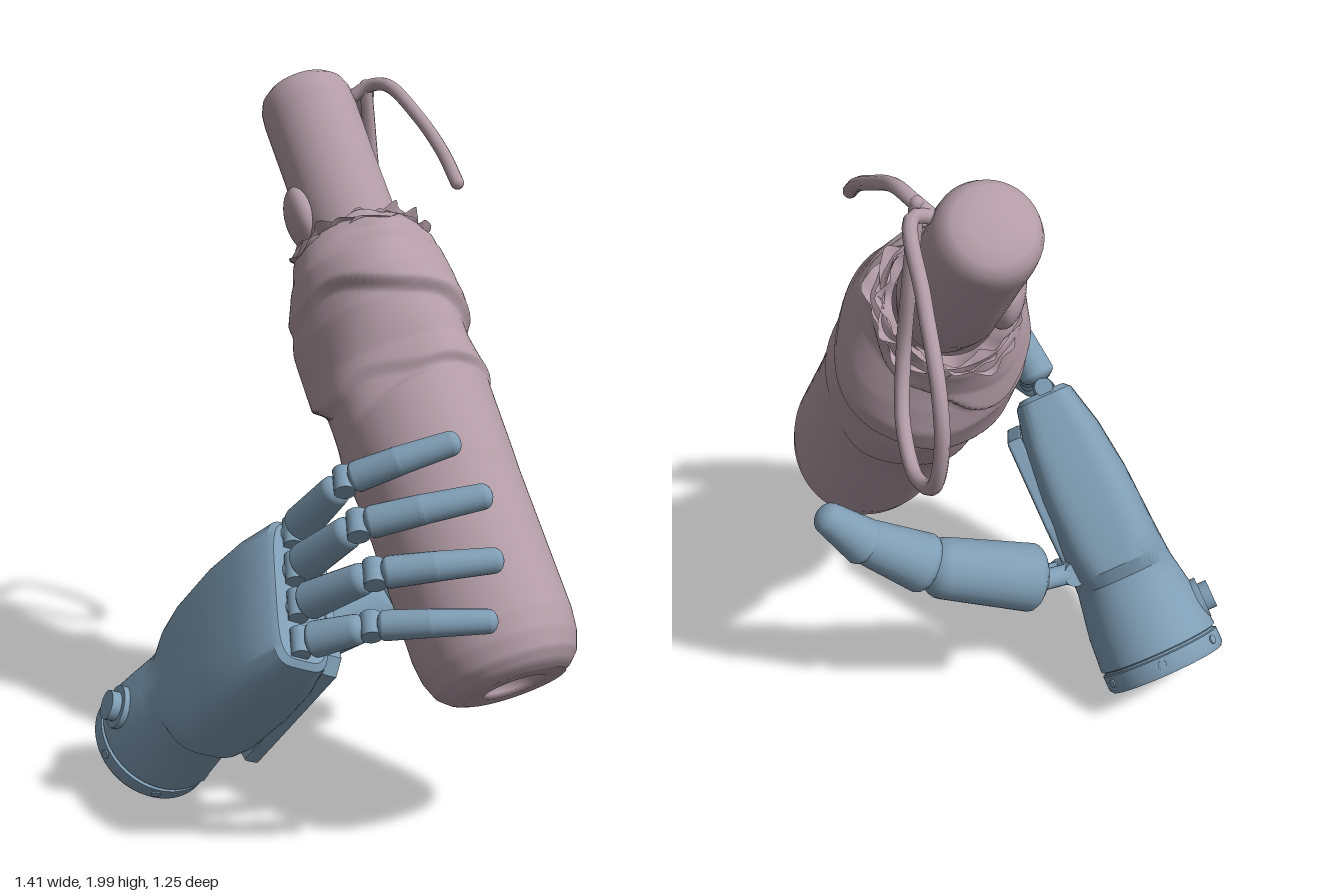
import * as THREE from 'three';
import { toCreasedNormals } from 'three/addons/utils/BufferGeometryUtils.js';

const V = (x, y, z) => new THREE.Vector3(x, y, z);
const UP = V(0, 1, 0);
const pink = new THREE.MeshStandardMaterial({ color: 0xb39ca5, side: THREE.DoubleSide });
const blue = new THREE.MeshStandardMaterial({ color: 0x7f9db4, side: THREE.DoubleSide });

function add(parent, name, geometry, material) {
  const mesh = new THREE.Mesh(geometry, material);
  mesh.name = name;
  parent.add(mesh);
  return mesh;
}

// Stretch of closed rings; point(i, a) gives the vertex of ring i at angle a
function loft(rings, sides, point) {
  const pos = [], index = [];
  for (let i = 0; i < rings; i++) {
    for (let j = 0; j < sides; j++) {
      pos.push(...point(i, (j / sides) * Math.PI * 2));
      if (i === rings - 1) continue;
      const a = i * sides + j, b = i * sides + ((j + 1) % sides);
      index.push(a, b, b + sides, a, b + sides, a + sides);
    }
  }
  const g = new THREE.BufferGeometry();
  g.setAttribute('position', new THREE.Float32BufferAttribute(pos, 3));
  g.setIndex(index);
  g.computeVertexNormals();
  return g;
}

// Linear lookup in a table of [position, value] rows
function sample(table, t) {
  let i = 0;
  while (i < table.length - 2 && t > table[i + 1][0]) i++;
  const [a, b] = [table[i], table[i + 1]];
  return THREE.MathUtils.lerp(a[1], b[1], THREE.MathUtils.clamp((t - a[0]) / (b[0] - a[0]), 0, 1));
}

// Round-ended tapered limb from a to b
function limb(parent, name, a, b, r0, r1) {
  const L = a.distanceTo(b), pts = [];
  for (let i = 0; i <= 5; i++) {
    const q = (i / 5) * Math.PI / 2;
    pts.push(new THREE.Vector2(r0 * Math.sin(q), r0 * 0.5 * (1 - Math.cos(q))));
  }
  for (let i = 0; i <= 6; i++) {
    const q = (i / 6) * Math.PI / 2;
    pts.push(new THREE.Vector2(r1 * Math.cos(q), L - r1 * 0.8 * (1 - Math.sin(q))));
  }
  const m = add(parent, name, new THREE.LatheGeometry(pts, 20), blue);
  m.position.copy(a);
  m.quaternion.setFromUnitVectors(UP, b.clone().sub(a).normalize());
}

// Hinge pin centred on p, lying along dir
function pin(parent, name, p, dir, r, len) {
  const m = add(parent, name, new THREE.CylinderGeometry(r, r, len, 20), blue);
  m.position.copy(p);
  m.quaternion.setFromUnitVectors(UP, dir.clone().normalize());
}

function makeUmbrella() {
  const g = new THREE.Group();
  g.name = 'foldedUmbrella';
  const top = V(-0.548, 1.93, -0.34), end = V(0.56, 0.49, 0.05);
  const axis = end.clone().sub(top), len = axis.length();
  axis.normalize();
  const body = new THREE.Group();
  body.name = 'umbrellaBody';
  body.position.copy(top);
  body.quaternion.setFromUnitVectors(UP, axis);
  g.add(body);

  // Handle with a rounded cap
  const handle = [[0, -0.022], [0.06, -0.02], [0.1, -0.009], [0.122, 0.01], [0.134, 0.04], [0.137, 0.08], [0.136, 0.25], [0.138, 0.47], [0.12, 0.56]];
  add(body, 'handle', new THREE.LatheGeometry(handle.map(p => new THREE.Vector2(...p)), 40), pink);

  // Wrapped canopy: outline, sideways sway, flatter back, and spiral folds ending in a slanted overlap
  const outline = [[0.5, 0.18], [0.54, 0.205], [0.62, 0.238], [0.7, 0.258], [0.77, 0.268], [0.9, 0.254], [1.08, 0.245], [1.3, 0.237], [len - 0.15, 0.24], [len - 0.09, 0.232], [len - 0.04, 0.212], [len - 0.01, 0.178], [len, 0.145]];
  const sway = [[0.5, 0], [0.62, -0.03], [0.76, 0.01], [0.9, 0.03], [1.08, 0.015], [1.25, 0]];
  const rows = 200;
  add(body, 'wrappedCanopy', loft(rows, 96, (i, a) => {
    const t = 0.5 + (len - 0.5) * (i / (rows - 1));
    const edge = 1.06 + 0.08 * Math.sin(a + 0.6);
    const mask = THREE.MathUtils.smoothstep(t, 0.5, 0.6) * (1 - THREE.MathUtils.smoothstep(t, edge, edge + 0.025));
    const phase = a / (2 * Math.PI) + t * 4.2 + 0.12 * Math.sin(2 * a + 5 * t) + 0.05 * Math.sin(5 * a);
    const u = phase - Math.floor(phase);
    const fold = (u < 0.88 ? u / 0.88 : (1 - u) / 0.12) - 0.5;
    const wave = Math.sin(3 * a + 9 * t) * 0.007 + Math.sin(5 * a - 14 * t) * 0.004;
    const r = sample(outline, t) + mask * ((0.022 + 0.01 * Math.sin(a * 2 + t * 7)) * fold + wave);
    const depth = Math.cos(a) * (Math.cos(a) < 0 ? 0.89 : 1);
    return [r * Math.sin(a) + sample(sway, t), t + (i === 0 ? 0.015 * Math.sin(5 * a) : 0), r * depth];
  }), pink);

  // Recessed socket in the lower end
  const socket = [[0.145, len], [0.09, len], [0.08, len - 0.012], [0.07, len - 0.05], [0, len - 0.055]];
  add(body, 'endSocket', new THREE.LatheGeometry(socket.map(p => new THREE.Vector2(...p)), 36), pink);

  // Crumpled cloth gathered around the handle
  for (let k = 0; k < 3; k++) {
    const y = 0.485 + k * 0.02;
    add(body, 'gatheredFrill', loft(5, 90, (i, a) => {
      const u = i / 4;
      const n = Math.sin(5 * a + k * 2) + 0.6 * Math.sin(11 * a + k * 5) + 0.3 * Math.sin(19 * a - k);
      const r = 0.136 + u * (0.036 + 0.014 * k + 0.012 * n);
      return [r * Math.sin(a), y + 0.05 * (1 - u) + u * 0.012 * Math.sin(9 * a + 3 * k), r * Math.cos(a)];
    }), pink);
  }

  // Push button on the handle
  const out = V(-0.045, -0.05, 0.1);
  out.addScaledVector(axis, -out.dot(axis)).normalize();
  const button = add(g, 'handleButton', new THREE.SphereGeometry(0.095, 28, 18), pink);
  button.scale.y = 0.5;
  button.position.copy(top).addScaledVector(axis, 0.39).addScaledVector(out, 0.125);
  button.quaternion.setFromUnitVectors(UP, out);

  // Wrist cord: hanging loop and a loose end
  const cords = {
    cordLoop: [[-0.42, 1.92, -0.4], [-0.40, 1.93, -0.46], [-0.53, 1.8, -0.53], [-0.66, 1.64, -0.59], [-0.69, 1.5, -0.605], [-0.65, 1.36, -0.6], [-0.54, 1.32, -0.57], [-0.43, 1.39, -0.52], [-0.37, 1.53, -0.47], [-0.38, 1.75, -0.455], [-0.38, 1.95, -0.43]],
    cordEnd: [[-0.42, 1.91, -0.4], [-0.37, 1.95, -0.43], [-0.3, 1.96, -0.43], [-0.15, 1.89, -0.39], [-0.02, 1.81, -0.34], [0.065, 1.74, -0.3]],
  };
  for (const [name, pts] of Object.entries(cords)) {
    const curve = new THREE.CatmullRomCurve3(pts.map(p => V(...p)));
    add(g, name, new THREE.TubeGeometry(curve, 90, 0.019, 10), pink);
    add(g, name + 'Tip', new THREE.SphereGeometry(0.019, 10, 8), pink).position.set(...pts[pts.length - 1]);
  }
  return g;
}

function makeHand() {
  const g = new THREE.Group();
  g.name = 'mechanicalHand';
  // Hand frame: x across to the little finger, y towards the fingers, z out of the back
  const f = V(0.69, 0.72, 0.03).normalize();
  const n = V(0.55, -0.62, 0.56).cross(f).normalize();
  const w = f.clone().cross(n);
  const base = V(-0.495, 0.128, 0.393);
  const at = (x, y, z) => base.clone().addScaledVector(w, x).addScaledVector(f, y).addScaledVector(n, z);
  const palm = new THREE.Group();
  palm.name = 'palmAndWrist';
  palm.position.copy(base);
  palm.quaternion.setFromRotationMatrix(new THREE.Matrix4().makeBasis(w, f, n));
  g.add(palm);

  // Wrist and palm shell: [along, half width, half thickness, squareness, shift across]
  const shell = [
    [0, 0, 0, 1, 0], [0, 0.174, 0.174, 1, 0], [0.012, 0.182, 0.182, 1, 0], [0.055, 0.182, 0.182, 1, 0], [0.058, 0.174, 0.174, 1, 0],
    [0.064, 0.174, 0.174, 1, 0], [0.068, 0.182, 0.182, 1, 0], [0.17, 0.176, 0.174, 1, 0], [0.26, 0.17, 0.158, 0.95, 0],
    [0.305, 0.178, 0.15, 0.9, 0], [0.345, 0.22, 0.147, 0.7, 0], [0.42, 0.235, 0.143, 0.58, 0], [0.6, 0.242, 0.135, 0.5, 0.005],
    [0.75, 0.24, 0.117, 0.46, 0.012], [0.875, 0.228, 0.087, 0.45, 0.015], [0.89, 0.212, 0.072, 0.45, 0.015], [0.875, 0, 0, 1, 0.01]];
  const bend = (v, e) => Math.sign(v) * Math.pow(Math.abs(v), e);
  add(palm, 'palmShell', toCreasedNormals(loft(shell.length, 56, (i, a) => {
    const [y, hw, ht, e, sx] = shell[i];
    return [sx + hw * bend(Math.sin(a), e), y, ht * bend(Math.cos(a), e)];
  }), 0.6), blue);

  // Thin cover plate on the palm side
  const plate = new THREE.Shape([[-0.165, 0.52], [-0.1, 0.38], [0.18, 0.345], [0.212, 0.365], [0.185, 0.8], [0.15, 0.83], [-0.165, 0.79]].map(p => new THREE.Vector2(...p)));
  add(palm, 'palmPlate', new THREE.ExtrudeGeometry(plate, { depth: 0.03, bevelSize: 0.008, bevelThickness: 0.008, bevelSegments: 2 }), blue).position.z = -0.142;

  // Button on the wrist and screws around its rim
  const z = V(0, 0, 1);
  pin(palm, 'wristButtonCollar', V(0, 0.15, 0.165), z, 0.062, 0.035);
  pin(palm, 'wristButton', V(0, 0.15, 0.185), z, 0.042, 0.05);
  for (let k = 0; k < 6; k++) {
    const d = V(Math.sin(k * Math.PI / 3 + 0.5), 0, Math.cos(k * Math.PI / 3 + 0.5));
    pin(palm, 'wristScrew', d.clone().multiplyScalar(0.179).setY(0.034), d, 0.013, 0.014);
  }

  // Fingers: [name, knuckle offset across, middle joint, tip, size]
  const fingers = [
    ['indexFinger', -0.165, [0.2, 1.06, 0.33], [0.435, 1.175, 0.14], 1.03],
    ['middleFinger', -0.05, [0.295, 0.975, 0.385], [0.55, 1.055, 0.15], 1.06],
    ['ringFinger', 0.065, [0.385, 0.875, 0.425], [0.62, 0.905, 0.19], 1.04],
    ['littleFinger', 0.18, [0.4, 0.745, 0.455], [0.655, 0.765, 0.255], 0.98]];
  for (const [name, x, jointAt, tipAt, s] of fingers) {
    const fg = new THREE.Group();
    fg.name = name;
    g.add(fg);
    const knuckle = at(x, 0.9, 0.015), joint = V(...jointAt), tip = V(...tipAt);
    const dir = joint.clone().sub(knuckle).normalize();
    const mid = joint.clone().lerp(tip, 0.5).add(V(0.014, 0.012, 0.022));
    // Knuckle bracket, hinges and links
    limb(fg, 'knuckleBracket', at(x, 0.83, 0.01), knuckle.clone().addScaledVector(dir, 0.03), 0.04 * s, 0.028 * s);
    pin(fg, 'knucklePin', knuckle, w, 0.026 * s, 0.08 * s);
    limb(fg, 'lowerLink', knuckle.clone().addScaledVector(dir, 0.02), joint.clone().addScaledVector(dir, -0.012), 0.05 * s, 0.042 * s);
    pin(fg, 'middleHinge', joint, w, 0.028 * s, 0.07 * s);
    limb(fg, 'upperLink', joint.clone().lerp(mid, 0.1), mid.clone().lerp(tip, 0.15), 0.041 * s, 0.038 * s);
    limb(fg, 'fingertip', mid.clone().lerp(joint, 0.2), tip, 0.038 * s, 0.033 * s);
  }

  // Thumb reaching behind the grip
  const thumb = new THREE.Group();
  thumb.name = 'thumb';
  g.add(thumb);
  const p = [[-0.23, 0.4, 0.28], [-0.23, 0.43, 0.14], [-0.215, 0.435, 0.1], [-0.05, 0.53, -0.18], [0.035, 0.61, -0.3], [0.1, 0.745, -0.415]].map(q => V(...q));
  const side = V(0.8, -0.5, 0.25);
  for (const k of [-1, 1]) {
    const o = side.clone().normalize().multiplyScalar(0.034 * k);
    limb(thumb, 'thumbBracket', p[0].clone().add(o), p[2].clone().add(o), 0.03, 0.03);
  }
  pin(thumb, 'thumbBasePin', p[0].clone().lerp(p[1], 0.4), side, 0.035, 0.13);
  limb(thumb, 'thumbLowerLink', p[1], p[3], 0.1, 0.09);
  pin(thumb, 'thumbHinge', p[3], side, 0.04, 0.14);
  limb(thumb, 'thumbMiddleLink', p[3].clone().lerp(p[2], 0.15), p[4].clone().lerp(p[5], 0.25), 0.088, 0.068);
  limb(thumb, 'thumbTip', p[4].clone().lerp(p[3], 0.1), p[5], 0.07, 0.048);
  return g;
}

export function createModel() {
  const model = new THREE.Group();
  model.name = 'handHoldingUmbrella';
  model.add(makeUmbrella(), makeHand());
  return model;
}
